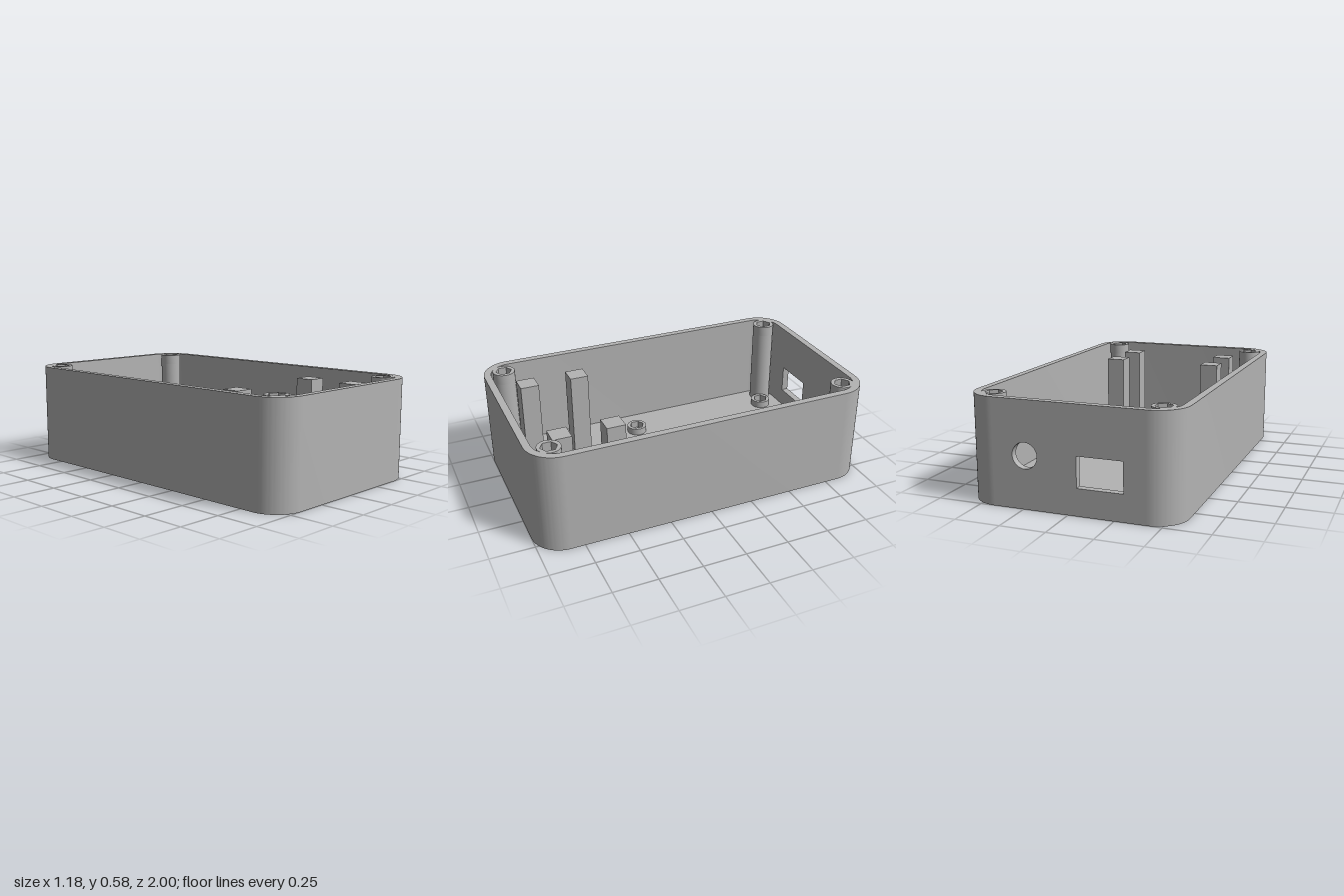
import * as THREE from 'three';
import { toCreasedNormals } from 'three/addons/utils/BufferGeometryUtils.js';

const W = 0.59, L = 1.0, H = 0.578;      // outer half width, half length, height
const T = 0.041, FLOOR = 0.042;          // wall and floor thickness
const CX = 0.42, CZ = 0.83;              // corner arc centres
const R = 0.17, RI = R - T;              // outer and inner corner radius
const HOLE = 0.025;

const grey = new THREE.MeshStandardMaterial({ color: 0xb3b3b3 });
grey.name = 'grey plastic';

export function createModel() {
  const model = new THREE.Group();
  model.name = 'enclosureBase';

  const add = (name, geometry, x = 0, y = 0, z = 0) => {
    const mesh = new THREE.Mesh(geometry, grey);
    mesh.name = name;
    mesh.position.set(x, y, z);
    model.add(mesh);
    return mesh;
  };
  const extrude = (shape, depth) => toCreasedNormals(
    new THREE.ExtrudeGeometry(shape, { depth, bevelEnabled: false, curveSegments: 16 }), 0.5);
  // plan shapes are drawn with their y pointing to the back
  const raise = (shape, height) => extrude(shape, height).rotateX(-Math.PI / 2);

  const circle = (x, y, r) => new THREE.Path().absarc(x, y, r, 0, Math.PI * 2, true);
  const hexagon = (r) => {
    const p = [];
    for (let i = 0; i < 6; i++) {
      const a = Math.PI / 2 - i * Math.PI / 3;
      p.push(new THREE.Vector2(r * Math.cos(a), r * Math.sin(a)));
    }
    return new THREE.Path(p);
  };
  const sleeve = (r, hole, height) => {
    const s = new THREE.Shape().absarc(0, 0, r, 0, Math.PI * 2, false);
    s.holes.push(hole);
    return raise(s, height);
  };

  // side and front walls with rounded corners, open between the back corners
  const q = Math.PI / 2;
  const wall = new THREE.Shape();
  wall.moveTo(CX, L);
  wall.absarc(CX, CZ, R, q, 0, true);
  wall.absarc(CX, -CZ, R, 0, -q, true);
  wall.absarc(-CX, -CZ, R, -q, -2 * q, true);
  wall.absarc(-CX, CZ, R, 2 * q, q, true);
  wall.lineTo(-CX, L - T);
  wall.absarc(-CX, CZ, RI, q, 2 * q, false);
  wall.absarc(-CX, -CZ, RI, 2 * q, 3 * q, false);
  wall.absarc(CX, -CZ, RI, 3 * q, 4 * q, false);
  wall.absarc(CX, CZ, RI, 0, q, false);
  add('sideWalls', raise(wall, H));

  // back wall with a round and a rectangular port
  const back = new THREE.Shape();
  back.moveTo(-CX, 0).lineTo(CX, 0).lineTo(CX, H).lineTo(-CX, H).closePath();
  back.holes.push(circle(0.236, 0.286, 0.07));
  back.holes.push(new THREE.Path()
    .moveTo(-0.3, 0.147).lineTo(-0.3, 0.313).lineTo(-0.05, 0.313).lineTo(-0.05, 0.147).closePath());
  add('backWall', extrude(back, T), 0, 0, -L);

  // floor plate with four screw holes
  const standoffs = [];
  for (const x of [-0.355, 0.355]) for (const z of [-0.825, 0.08]) standoffs.push([x, z]);
  const floor = new THREE.Shape();
  floor.moveTo(CX, -CZ - RI);
  floor.absarc(CX, -CZ, RI, -q, 0, false);
  floor.absarc(CX, CZ, RI, 0, q, false);
  floor.absarc(-CX, CZ, RI, q, 2 * q, false);
  floor.absarc(-CX, -CZ, RI, 2 * q, 3 * q, false);
  floor.closePath();
  for (const [x, z] of standoffs) floor.holes.push(circle(x, -z, HOLE));
  add('floor', raise(floor, FLOOR));

  // low standoffs with hexagonal nut pockets
  for (const [x, z] of standoffs) {
    add('standoff', sleeve(0.06, hexagon(0.044), 0.042), x, FLOOR, z);
  }

  // corner screw posts: narrow bore below, nut pocket on top
  const pocket = 0.06;
  for (const x of [-0.467, 0.467]) for (const z of [-0.88, 0.875]) {
    add('cornerPost', sleeve(0.065, hexagon(HOLE), H - pocket - FLOOR), x, FLOOR, z);
    add('cornerPostPocket', sleeve(0.065, hexagon(0.047), pocket), x, H - pocket, z);
  }

  // square support pillars near the front
  const tall = 0.505;
  for (const x of [-0.315, 0.315]) for (const z of [0.474, 0.775]) {
    add('supportPillar', new THREE.BoxGeometry(0.108, tall, 0.108), x, FLOOR + tall / 2, z);
  }
  return model;
}
